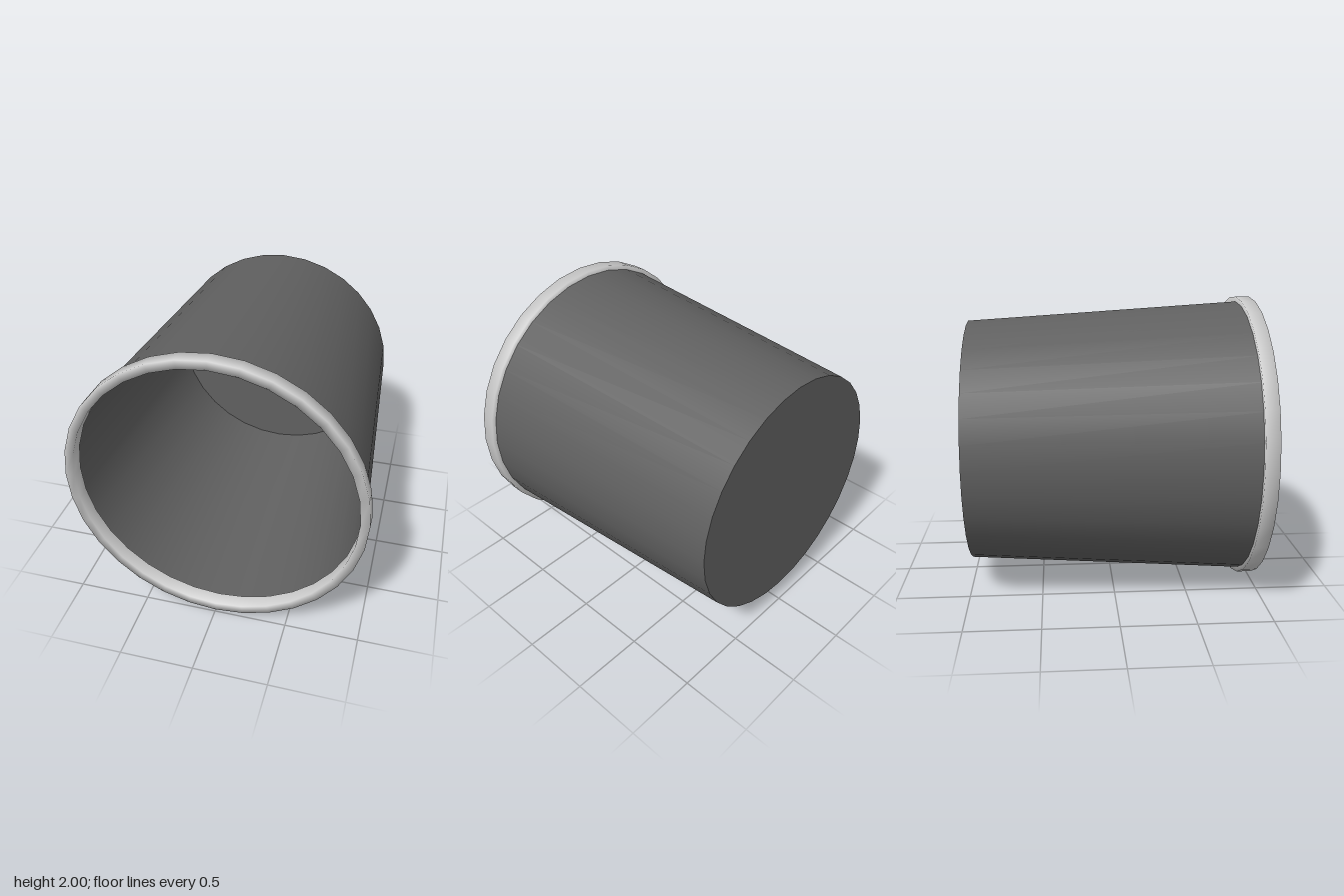
import * as THREE from 'three';

const SIDES = 32;

// Lathe a list of [radius, z] points around the z axis, at height y = 1
function turned(name, profile, color) {
  const points = profile.map(([r, z]) => new THREE.Vector2(r, z));
  const geometry = new THREE.LatheGeometry(points, SIDES);
  geometry.rotateX(Math.PI / 2);
  const mesh = new THREE.Mesh(
    geometry,
    new THREE.MeshStandardMaterial({ color, side: THREE.DoubleSide })
  );
  mesh.name = name;
  mesh.position.y = 1;
  return mesh;
}

export function createModel() {
  const group = new THREE.Group();
  group.name = 'bucket';
  const back = -0.985, front = 0.985, rimBack = 0.89;

  // Thin tapered wall, open at the front
  group.add(turned('wall', [[0.845, back], [0.97, 0.94]], 0x606060));

  // Flat base closing the narrow end
  group.add(turned('base', [[0, back], [0.845, back]], 0x606060));

  // Raised rim around the opening
  group.add(turned('rim', [
    [0.94, rimBack], [1, rimBack], [1, front], [0.94, front], [0.94, rimBack],
  ], 0xcccccc));

  return group;
}
